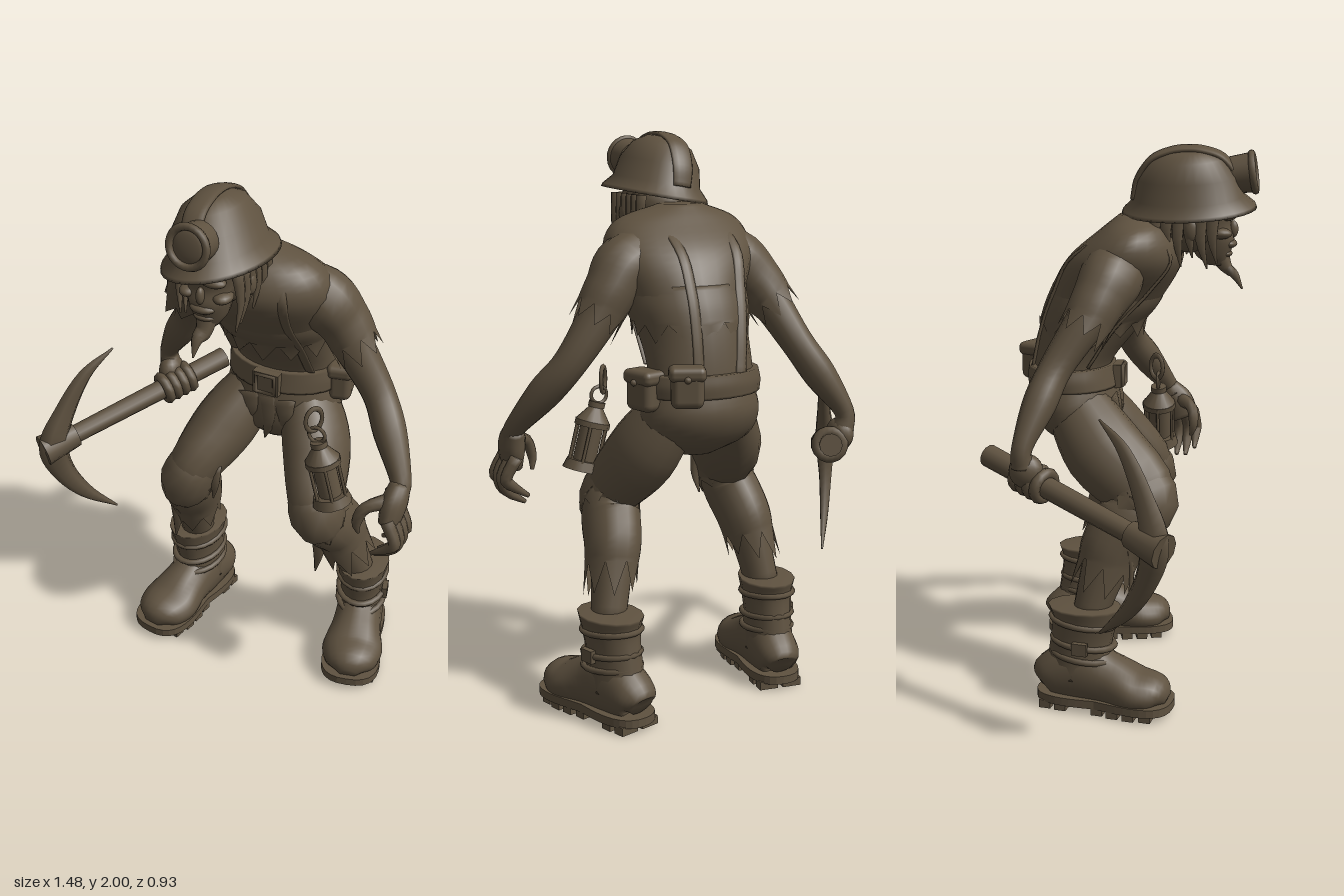
import * as THREE from 'three';
import { RoundedBoxGeometry } from 'three/addons/geometries/RoundedBoxGeometry.js';

const brown = new THREE.MeshStandardMaterial({ color: 0x5f5240, side: THREE.DoubleSide });
brown.name = 'dusty brown';
const V = (x, y, z) => new THREE.Vector3(x, y, z);
const X = V(1, 0, 0), Y = V(0, 1, 0), Z = V(0, 0, 1), DOWN = V(0, -1, 0);
let seed = 7;
const rnd = () => (seed = (seed * 16807) % 2147483647) / 2147483647;

// Lofts ellipses along a smooth path; each point is [x, y, z, radiusA, radiusB].
// hem > 0 tears the far edge into points.
function loft(pts, { ref = Z, axis = null, sides = 14, steps = 5, hem = 0, floor = -1 } = {}) {
  const path = new THREE.CatmullRomCurve3(pts.map(p => V(p[0], p[1], p[2])), false, 'catmullrom', 0.5);
  const size = new THREE.CatmullRomCurve3(pts.map(p => V(p[3], p[4] ?? p[3], 0)), false, 'catmullrom', 0.5);
  const rows = (pts.length - 1) * steps, pos = [], idx = [];
  for (let i = 0; i <= rows; i++) {
    const c = path.getPoint(i / rows), s = size.getPoint(i / rows);
    const T = axis || path.getTangent(i / rows);
    const B = V().crossVectors(T, ref).normalize(), N = V().crossVectors(B, T);
    for (let j = 0; j < sides; j++) {
      const a = (j / sides) * Math.PI * 2;
      const p = c.clone().addScaledVector(B, s.x * Math.cos(a)).addScaledVector(N, s.y * Math.sin(a));
      if (hem && i === rows) p.addScaledVector(T, j % 2 ? hem * (0.4 + 0.6 * rnd()) : -hem * 0.4 * rnd());
      pos.push(p.x, Math.max(p.y, floor), p.z);
      if (i < rows) {
        const k = (j + 1) % sides, q = i * sides, r = q + sides;
        idx.push(q + j, r + j, q + k, q + k, r + j, r + k);
      }
    }
  }
  const n = pos.length / 3, e = rows * sides, a = path.getPoint(0), b = path.getPoint(1);
  pos.push(a.x, Math.max(a.y, floor), a.z, b.x, Math.max(b.y, floor), b.z);
  for (let j = 0; j < sides; j++) {
    const k = (j + 1) % sides;
    idx.push(n, j, k);
    if (!hem) idx.push(n + 1, e + k, e + j);
  }
  const g = new THREE.BufferGeometry();
  g.setAttribute('position', new THREE.Float32BufferAttribute(pos, 3));
  g.setIndex(idx);
  g.computeVertexNormals();
  return g;
}

function add(parent, name, geo, x = 0, y = 0, z = 0, rx = 0, ry = 0, rz = 0) {
  const m = new THREE.Mesh(geo, brown);
  m.name = name;
  m.position.set(x, y, z);
  m.rotation.set(rx, ry, rz);
  parent.add(m);
  return m;
}
const ball = (p, name, x, y, z, a, b, c) => add(p, name, new THREE.SphereGeometry(1, 16, 12), x, y, z).scale.set(a, b, c);
function group(parent, name, x, y, z, rx = 0, ry = 0, rz = 0) {
  const g = new THREE.Group();
  g.name = name;
  g.position.set(x, y, z);
  g.rotation.set(rx, ry, rz);
  parent.add(g);
  return g;
}
const rag = (p, x, y, z, w, h) => add(p, 'rag', loft([[x, y, z, w, 0.012], [x + w * 0.2, y - h * 0.5, z + 0.01, w * 0.6, 0.01],
  [x - w * 0.2, y - h, z, 0.003]], { sides: 6, steps: 3 }));

// Torso rings, top to bottom
const TORSO = [[0.06, 1.755, 0.03, 0.08, 0.06], [0.075, 1.7, 0.03, 0.23, 0.13], [0.09, 1.6, -0.01, 0.275, 0.205],
  [0.11, 1.47, -0.08, 0.225, 0.21], [0.11, 1.34, -0.15, 0.195, 0.18], [0.11, 1.2, -0.21, 0.19, 0.14], [0.11, 1.08, -0.2, 0.19, 0.15]];
function onTorso(x, y, side) {
  let i = 0;
  while (i < TORSO.length - 2 && TORSO[i + 1][1] > y) i++;
  const f = (TORSO[i][1] - y) / (TORSO[i][1] - TORSO[i + 1][1]);
  const [cx, , cz, rx, rz] = TORSO[i].map((v, k) => v + (TORSO[i + 1][k] - v) * f);
  return [x, y, cz + side * (rz * Math.sqrt(Math.max(0, 1 - ((x - cx) / rx) ** 2)) + 0.008), 0.006, 0.02];
}

function boot(parent, name, x, z, yaw) {
  const b = group(parent, name, x, 0, z, 0, yaw);
  add(b, 'foot', loft([[0, 0.09, -0.17, 0.045, 0.04], [0, 0.11, -0.14, 0.08, 0.08], [0, 0.13, -0.03, 0.088, 0.125], [0, 0.11, 0.08, 0.095, 0.1],
    [0, 0.085, 0.18, 0.115, 0.078], [0, 0.08, 0.26, 0.09, 0.062], [0, 0.06, 0.3, 0.03, 0.02]], { ref: Y, floor: 0.035, sides: 18 }));
  add(b, 'shaft', loft([[0, 0.385, -0.01, 0.1, 0.135], [0, 0.33, -0.01, 0.09, 0.12], [0, 0.24, -0.025, 0.083, 0.115], [0, 0.12, -0.035, 0.088, 0.125]], { axis: DOWN }));
  for (const [y, r] of [[0.33, 0.091], [0.25, 0.088], [0.2, 0.088]])
    add(b, 'strap', new THREE.TorusGeometry(r, 0.011, 6, 20), 0, y, -0.015, Math.PI / 2 + 0.1).scale.y = 1.28;
  add(b, 'buckle', new THREE.BoxGeometry(0.02, 0.045, 0.055), Math.sign(x) * 0.093, 0.25, 0);
  // Sole with tread blocks
  const s = new THREE.Shape();
  s.moveTo(0, 0.19);
  s.bezierCurveTo(0.12, 0.19, 0.095, 0.02, 0.09, -0.05);
  s.bezierCurveTo(0.105, -0.15, 0.16, -0.325, 0, -0.32);
  s.bezierCurveTo(-0.16, -0.325, -0.105, -0.15, -0.09, -0.05);
  s.bezierCurveTo(-0.095, 0.02, -0.12, 0.19, 0, 0.19);
  add(b, 'sole', new THREE.ExtrudeGeometry(s, { depth: 0.03, bevelEnabled: false }), 0, 0.025, 0, -Math.PI / 2);
  for (const [tz, w] of [[-0.14, 0.07], [-0.08, 0.075], [0.06, 0.078], [0.12, 0.088], [0.18, 0.092], [0.24, 0.085]])
    for (const e of [-1, 1]) add(b, 'tread', new THREE.BoxGeometry(w, 0.03, 0.042), e * (w / 2 + 0.01), 0.015, tz);
}

export function createModel() {
  const m = new THREE.Group();
  m.name = 'miner';

  // Body, straps and belt
  add(m, 'torso', loft(TORSO, { axis: DOWN, sides: 26 }));
  add(m, 'shirtHem', loft([[0.11, 1.5, -0.07, 0.222, 0.208], [0.11, 1.43, -0.1, 0.222, 0.208], [0.11, 1.36, -0.14, 0.206, 0.19]], { axis: DOWN, sides: 26, hem: 0.06 }));
  add(m, 'trouserSeat', loft([[0.11, 1.16, -0.2, 0.195, 0.15], [0.11, 1.06, -0.2, 0.22, 0.165], [0.11, 0.97, -0.18, 0.19, 0.14], [0.11, 0.91, -0.16, 0.07, 0.07]], { axis: DOWN, sides: 22 }));
  for (const [f, t, b] of [[-0.06, -0.04, 0.03], [0.25, 0.18, 0.19]])
    add(m, 'suspender', loft([onTorso(f, 1.22, 1), onTorso(f, 1.36, 1), onTorso(f, 1.5, 1), onTorso(f, 1.62, 1), [t, 1.722, 0.04, 0.006, 0.02],
      onTorso(t, 1.62, -1), onTorso((t * 2 + b) / 3, 1.48, -1), onTorso((t + b * 2) / 3, 1.34, -1), onTorso(b, 1.2, -1)], { ref: X, sides: 8 }));
  add(m, 'belt', loft([[0.11, 1.21, -0.21, 0.21, 0.158], [0.11, 1.17, -0.21, 0.218, 0.164], [0.11, 1.13, -0.205, 0.216, 0.166]], { axis: DOWN, sides: 26 }));
  add(m, 'buckle', new THREE.BoxGeometry(0.1, 0.085, 0.03), 0.11, 1.165, -0.04);
  add(m, 'buckleRim', new THREE.TorusGeometry(0.05, 0.01, 4, 4), 0.11, 1.165, -0.022, 0, 0, Math.PI / 4);
  for (const [x, y, z, ry, w] of [[0.25, 1.185, -0.37, 0.45, 0.11], [0.325, 1.155, -0.21, 1.35, 0.12]]) {
    const p = group(m, 'beltPouch', x, y, z, 0, Math.PI - ry);
    add(p, 'bag', new RoundedBoxGeometry(w, 0.14, 0.085, 3, 0.025));
    add(p, 'flap', new RoundedBoxGeometry(w + 0.015, 0.05, 0.095, 3, 0.02), 0, 0.045, 0);
    add(p, 'stud', new THREE.SphereGeometry(0.012, 8, 6), 0, 0.03, 0.048);
  }

  // Neck and head
  add(m, 'neck', loft([[0.07, 1.7, 0.2, 0.07], [0.06, 1.65, 0.1, 0.075, 0.08], [0.07, 1.6, 0.02, 0.1]], { ref: X }));
  const head = group(m, 'head', 0.07, 1.72, 0.23);
  ball(head, 'skull', 0, 0.02, -0.01, 0.11, 0.12, 0.145);
  add(head, 'face', loft([[0, 0.06, 0.06, 0.1, 0.085], [0, 0, 0.065, 0.085, 0.07], [0, -0.05, 0.075, 0.075, 0.072], [0, -0.1, 0.07, 0.06, 0.064], [0, -0.14, 0.085, 0.032, 0.035]], { axis: DOWN }));
  ball(head, 'nose', 0, -0.015, 0.142, 0.014, 0.03, 0.018);
  ball(head, 'upperTeeth', 0, -0.065, 0.125, 0.045, 0.018, 0.032);
  ball(head, 'lowerTeeth', 0, -0.1, 0.115, 0.038, 0.014, 0.026);
  for (const s of [-1, 1]) {
    ball(head, 'brow', s * 0.04, 0.035, 0.125, 0.042, 0.018, 0.03);
    ball(head, 'cheekbone', s * 0.06, -0.025, 0.1, 0.032, 0.02, 0.042);
    ball(head, 'ear', s * 0.11, -0.01, 0, 0.015, 0.04, 0.025);
    for (let i = 0; i < 6; i++) {
      const z = 0.08 - i * 0.04, l = 0.14 + 0.07 * rnd();
      add(head, 'hair', loft([[s * 0.1, 0.06, z, 0.02, 0.026], [s * 0.11, 0.06 - l * 0.5, z - 0.005, 0.013, 0.02], [s * 0.1, 0.06 - l, z + 0.02 * rnd(), 0.003]], { sides: 6, steps: 3 }));
    }
  }
  add(head, 'beard', loft([[0, -0.1, 0.09, 0.04, 0.04], [0, -0.15, 0.12, 0.03, 0.022], [-0.01, -0.175, 0.15, 0.02, 0.015], [-0.01, -0.225, 0.178, 0.003]], { sides: 8 }));

  // Hard hat with ridge and lamp
  const hat = group(m, 'helmet', 0.06, 1.8, 0.215, -0.04, 0, 0.17);
  const dome = [[0, 0.188], [0.06, 0.18], [0.11, 0.152], [0.15, 0.09], [0.165, 0.02], [0.198, -0.015], [0.202, -0.028], [0.17, -0.015], [0.14, 0.03], [0.08, 0.11], [0, 0.13]];
  add(hat, 'shell', new THREE.LatheGeometry(dome.map(p => new THREE.Vector2(...p)), 32)).scale.set(0.9, 1, 1.18);
  add(hat, 'ridge', loft([[0, 0.02, -0.196, 0.035, 0.01], [0, 0.09, -0.176, 0.04, 0.011], [0, 0.155, -0.125, 0.042, 0.011], [0, 0.182, -0.06, 0.042, 0.011], [0, 0.189, 0, 0.042, 0.011],
    [0, 0.182, 0.06, 0.042, 0.011], [0, 0.155, 0.125, 0.04, 0.011], [0, 0.09, 0.176, 0.038, 0.011]], { ref: Y, sides: 12 }));
  const lamp = group(hat, 'lamp', 0.022, 0.088, 0.188, -0.1);
  add(lamp, 'housing', new THREE.CylinderGeometry(0.07, 0.064, 0.08, 22), 0, 0, 0, Math.PI / 2);
  add(lamp, 'rim', new THREE.TorusGeometry(0.065, 0.013, 8, 24), 0, 0, 0.04);
  ball(lamp, 'lens', 0, 0, 0.037, 0.055, 0.055, 0.012);

  // Arms and torn sleeves
  const armR = group(m, 'rightArm', 0, 0, 0), armL = group(m, 'leftArm', 0, 0, 0);
  add(armR, 'arm', loft([[-0.01, 1.61, -0.02, 0.08], [-0.14, 1.54, -0.04, 0.092], [-0.215, 1.43, -0.1, 0.073], [-0.285, 1.27, -0.2, 0.058], [-0.355, 1.15, -0.25, 0.058], [-0.43, 1.02, -0.295, 0.036], [-0.425, 0.95, -0.295, 0.042]]));
  add(armR, 'sleeve', loft([[0.04, 1.62, -0.01, 0.07], [-0.11, 1.56, -0.03, 0.11], [-0.19, 1.48, -0.07, 0.096], [-0.235, 1.4, -0.11, 0.086]], { hem: 0.08, sides: 16 }));
  add(armL, 'arm', loft([[0.2, 1.61, -0.02, 0.08], [0.33, 1.54, -0.05, 0.09], [0.415, 1.4, -0.06, 0.073], [0.525, 1.24, -0.05, 0.058], [0.6, 1.13, 0.01, 0.058], [0.68, 1.0, 0.09, 0.036], [0.67, 0.96, 0.11, 0.04]]));
  add(armL, 'sleeve', loft([[0.15, 1.62, -0.01, 0.07], [0.3, 1.56, -0.04, 0.108], [0.375, 1.48, -0.065, 0.094], [0.425, 1.4, -0.065, 0.085]], { hem: 0.08, sides: 16 }));

  // Open left hand
  add(armL, 'palm', loft([[0.68, 1.0, 0.09, 0.036], [0.675, 0.94, 0.125, 0.045, 0.062], [0.67, 0.87, 0.15, 0.036, 0.064]]));
  for (let i = 0; i < 4; i++) {
    const z = 0.2 - i * 0.036, d = i === 0 || i === 3 ? 0.03 : 0;
    add(armL, 'finger', loft([[0.675, 0.9, z - 0.01, 0.024], [0.712, 0.83, z, 0.022], [0.695, 0.77 + d, z, 0.019], [0.63, 0.725 + d, z, 0.008]], { sides: 8, steps: 3 }));
  }
  add(armL, 'thumb', loft([[0.66, 0.95, 0.14, 0.028], [0.595, 0.93, 0.19, 0.022], [0.57, 0.87, 0.2, 0.018], [0.575, 0.82, 0.19, 0.007]], { sides: 8, steps: 3 }));

  // Pickaxe, its local y running along the handle toward the head
  const end = V(-0.28, 0.94, -0.435), tip = V(-0.68, 0.775, 0.18), dir = tip.clone().sub(end), len = dir.length();
  const pick = group(m, 'pickaxe', end.x, end.y, end.z);
  pick.quaternion.setFromUnitVectors(Y, dir.normalize());
  add(pick, 'handle', new THREE.CylinderGeometry(0.034, 0.04, len + 0.03, 12), 0, len / 2, 0);
  add(pick, 'collar', new THREE.CylinderGeometry(0.06, 0.047, 0.14, 10), 0, len - 0.03, 0);
  for (let i = 0; i < 4; i++)
    add(pick, 'grippingFinger', new THREE.TorusGeometry(0.046, 0.02, 8, 16), 0, 0.155 + i * 0.034, 0, Math.PI / 2);
  ball(armR, 'fist', -0.42, 0.935, -0.285, 0.045, 0.06, 0.06);
  add(m, 'pickHead', loft([[-0.515, 1.145, -0.02, 0.004], [-0.585, 1.06, 0.07, 0.028, 0.018], [-0.64, 0.92, 0.14, 0.045, 0.028], [-0.675, 0.785, 0.18, 0.06, 0.042],
    [-0.66, 0.65, 0.15, 0.045, 0.028], [-0.61, 0.52, 0.08, 0.028, 0.018], [-0.535, 0.41, -0.02, 0.004]], { ref: V(0.83, 0, 0.55), sides: 6 }));

  // Legs, torn trousers and boots
  const legs = [
    ['right', [0.02, 1.09, -0.2], [-0.07, 0.92, -0.07], [-0.14, 0.77, 0.08], [-0.175, 0.61, -0.02], [-0.215, 0.33, -0.11]],
    ['left', [0.2, 1.09, -0.2], [0.28, 0.92, -0.11], [0.35, 0.74, 0.025], [0.39, 0.6, -0.08], [0.455, 0.33, -0.17]]];
  for (const [side, hip, thigh, knee, calf, ankle] of legs) {
    const g = group(m, side + 'Leg', 0, 0, 0);
    add(g, 'thigh', loft([[...hip, 0.09, 0.11], [...thigh, 0.118, 0.145], [...knee, 0.09, 0.12], [...calf, 0.075, 0.095], [...ankle, 0.06]], { sides: 16 }));
    const mid = (a, b, f) => a.map((v, i) => v + (b[i] - v) * f);
    add(g, 'trouserCuff', loft([[...mid(thigh, knee, 0.8), 0.08, 0.1], [...mid(knee, calf, 0.35), 0.098, 0.12], [...calf, 0.098, 0.115], [...mid(calf, ankle, 0.3), 0.09, 0.105]], { hem: 0.11, sides: 16 }));
    add(g, 'kneeRag', loft([[...mid(thigh, knee, 0.5), 0.09, 0.11], [...knee, 0.1, 0.127], [...mid(knee, calf, 0.2), 0.1, 0.124]], { hem: 0.06, sides: 16 }));
    rag(g, knee[0] + (side === 'right' ? 0.1 : -0.06), knee[1] + 0.06, knee[2], 0.03, 0.15);
    rag(g, calf[0] - 0.05, calf[1], calf[2] + 0.06, 0.035, 0.2);
  }
  for (const [x, h] of [[0.04, 0.12], [0.11, 0.18], [0.17, 0.12]]) rag(m, x, 1.1, -0.05, 0.05, h);
  boot(m, 'rightBoot', -0.22, -0.11, -0.17);
  boot(m, 'leftBoot', 0.46, -0.185, 0.25);

  // Lantern hanging from a clip beside the belt
  const lan = group(m, 'lantern', 0.4, 0.94, 0.08, 0, 0, 0.26);
  for (const [name, a, b, h, y] of [['base', 0.062, 0.072, 0.035, -0.1], ['glass', 0.042, 0.042, 0.15, -0.02], ['collar', 0.064, 0.064, 0.02, 0.05], ['cap', 0.025, 0.062, 0.05, 0.085], ['chimney', 0.03, 0.03, 0.02, 0.12]])
    add(lan, name, new THREE.CylinderGeometry(a, b, h, 14), 0, y, 0);
  for (let i = 0; i < 6; i++)
    add(lan, 'bar', new THREE.CylinderGeometry(0.006, 0.006, 0.15, 6), 0.058 * Math.cos(i * Math.PI / 3), -0.02, 0.058 * Math.sin(i * Math.PI / 3));
  add(lan, 'ring', new THREE.TorusGeometry(0.03, 0.007, 6, 16), 0, 0.155, 0);
  add(m, 'clip', new THREE.TorusGeometry(0.032, 0.008, 6, 18), 0.345, 1.145, 0.075, 0, 0.9, 0).scale.y = 1.4;
  return m;
}
